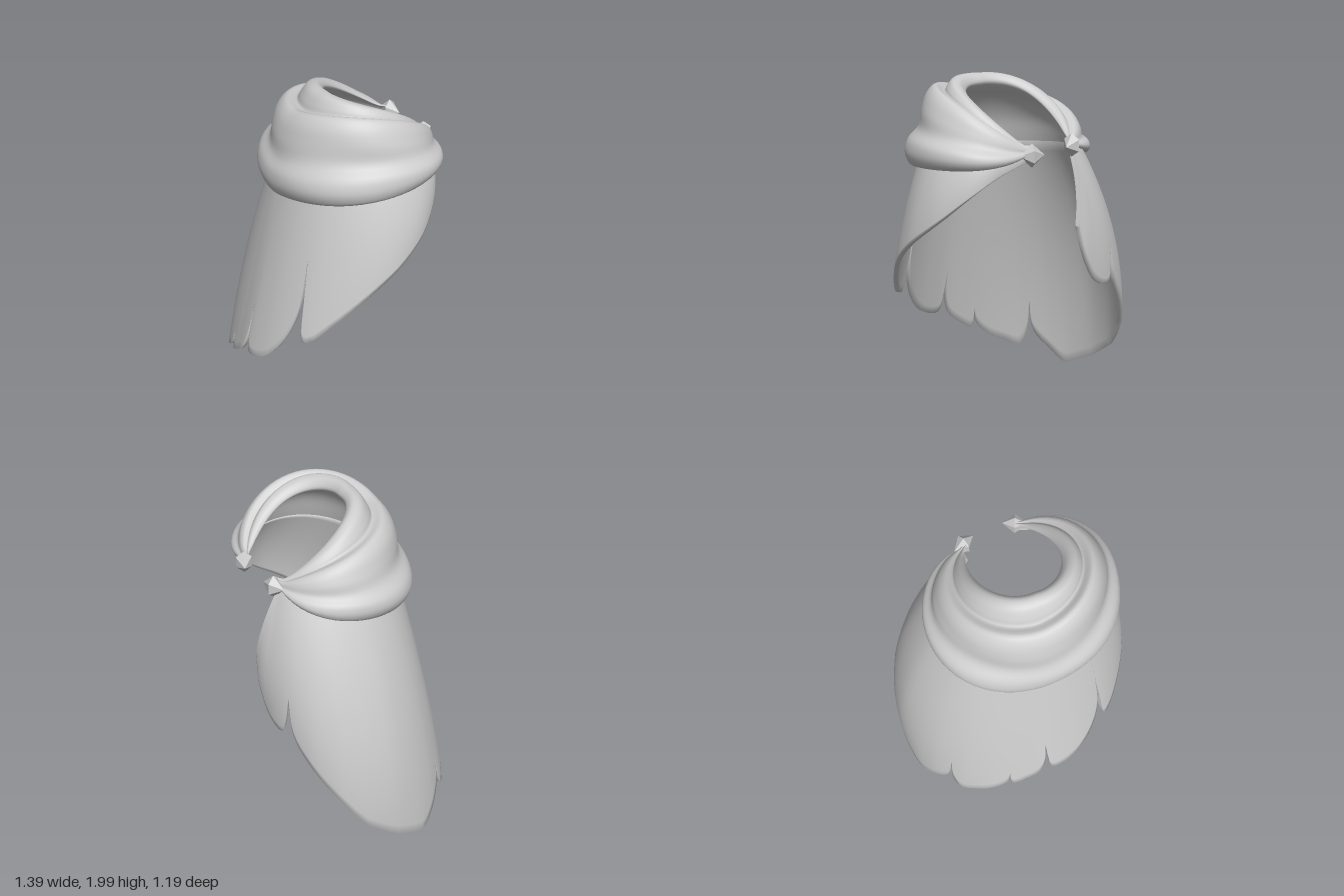
import * as THREE from 'three';

const CX = 0.12, CZ = -0.12;          // axis of the neck opening
const END = 2.72;                     // angle of each clasp, measured from the front
const { degToRad, radToDeg, clamp, lerp, smoothstep } = THREE.MathUtils;

// Place a profile point (radius, height) around the neck, gathered towards the clasps
function around(phi, r, y) {
  const a = Math.min(Math.abs(phi) / END, 1);
  const pr = Math.max(1 - a ** 4, 0.07), py = Math.max(1 - a ** 2.4, 0.1);
  const left = Math.max(0, Math.sin(phi)), outer = smoothstep(r, 0.18, 0.42);
  const widen = 0.04 * left * (1 - outer) + 0.025 * Math.sin(phi) ** 2 * smoothstep(r, 0.44, 0.53);
  const radius = 0.36 + (r - 0.36 + widen) * pr;
  const height = 1.655 + (y - 1.655) * py + 0.1 * Math.max(0, Math.sin(phi + 0.15)) * outer * py;
  return new THREE.Vector3(CX + Math.sin(phi) * radius, height, CZ + Math.cos(phi) * radius);
}

// Skin a list of equally long closed cross-sections
function loft(columns) {
  const n = columns[0].length, index = [];
  for (let i = 0; i < columns.length - 1; i++) {
    for (let j = 0; j < n; j++) {
      const k = (j + 1) % n;
      const a = i * n + j, b = a + n, c = i * n + k, d = c + n;
      index.push(a, b, c, b, d, c);
    }
  }
  const g = new THREE.BufferGeometry().setFromPoints(columns.flat());
  g.setIndex(index);
  g.computeVertexNormals();
  return g;
}

// Folded scarf round the neck, with a domed inner wall that runs on from the cape
function collarGeometry() {
  const profile = [
    [0.475, 1.46], [0.433, 1.57], [0.385, 1.71], [0.3, 1.84], [0.215, 1.91], [0.187, 1.95], [0.22, 1.992],
    [0.27, 1.98], [0.31, 1.925], [0.33, 1.888], [0.385, 1.9], [0.435, 1.85], [0.465, 1.76],
    [0.485, 1.655], [0.535, 1.58], [0.545, 1.5], [0.51, 1.43],
  ].map(([r, y]) => new THREE.Vector3(r, y, 0));
  const section = new THREE.CatmullRomCurve3(profile, true).getPoints(68).slice(0, -1);
  const columns = [];
  for (let i = 0; i <= 56; i++) {
    const phi = END - (2 * END * i) / 56;
    columns.push(section.map((p) => {
      const fold = smoothstep(p.x, 0.44, 0.5) * 0.007 * Math.sin(phi * 4 + p.y * 12);
      return around(phi, p.x + fold, p.y);
    }));
  }
  return loft(columns);
}

// Untorn lower outline of the cloth: angle in degrees, radius, height
const outline = [
  [156, 0.36, 1.62], [129, 0.426, 1.54], [111, 0.494, 1.43], [92, 0.555, 1.28], [74, 0.6, 1.14],
  [58, 0.627, 1.0], [41, 0.652, 0.82], [28, 0.68, 0.67], [18, 0.69, 0.59], [0, 0.715, 0.44],
  [-8, 0.722, 0.41], [-21, 0.733, 0.31], [-29, 0.75, 0.25], [-38, 0.776, 0.18], [-52, 0.81, 0.1],
  [-66, 0.83, 0.04], [-75, 0.833, 0.01], [-89, 0.815, 0.11], [-103, 0.79, 0.26], [-114, 0.757, 0.45],
  [-126, 0.69, 0.65], [-138, 0.612, 0.8], [-148, 0.56, 0.82], [-155, 0.525, 0.89], [-164, 0.49, 1.05],
  [-168, 0.465, 1.22],
];

function outlineAt(deg) {
  let i = 1;
  while (i < outline.length - 1 && outline[i][0] > deg) i++;
  const [d0, r0, y0] = outline[i - 1], [d1, r1, y1] = outline[i];
  const f = clamp((deg - d0) / (d1 - d0), 0, 1);
  return { r: lerp(r0, r1, f), y: lerp(y0, y1, f) };
}

// Torn edge of each panel as angle and height, ending at the slits between them
const panels = [
  [[155, 1.62], [129, 1.54], [111, 1.43], [92, 1.28], [74, 1.14], [58, 1.0], [41, 0.82], [30, 0.7],
    [26, 0.69], [25.2, 0.9], [24.8, 1.15]],
  [[24.8, 1.15], [23, 0.88], [18, 0.7], [9.5, 0.54], [1, 0.45], [-8, 0.43], [-9.8, 0.55], [-10.7, 0.7]],
  [[-10.7, 0.7], [-11.5, 0.52], [-14.5, 0.4], [-21, 0.32], [-28, 0.27], [-29, 0.37]],
  [[-29, 0.37], [-30.5, 0.29], [-38, 0.19], [-45, 0.145], [-52, 0.11], [-56, 0.22], [-57.5, 0.4]],
  [[-57.5, 0.4], [-59, 0.22], [-66, 0.1], [-75, 0.01], [-89, 0.11], [-103, 0.26], [-114, 0.46],
    [-126, 0.66], [-136, 0.85], [-139, 1.06]],
  [[-139, 1.06], [-140.5, 0.92], [-143, 0.84], [-155, 0.9], [-164, 1.06], [-168, 1.22]],
];

// Hanging cloth: one smooth thin shell, each column cut off at the torn edge
function capeGeometry() {
  const edge = [];
  panels.forEach((pts, k) => {
    // angles in radians keep both axes of the curve of similar size
    const curve = new THREE.CatmullRomCurve3(
      pts.map(([deg, y]) => new THREE.Vector3(degToRad(deg), y, 0)), false, 'centripetal');
    edge.push(...curve.getPoints((pts.length - 1) * 4).slice(k ? 1 : 0));
  });
  const rows = 24;
  const columns = edge.map(({ x: phi, y }) => {
    const out = new THREE.Vector3(Math.sin(phi), 0, Math.cos(phi));
    const full = outlineAt(radToDeg(phi));
    const top = around(clamp(phi, -END + 0.03, END - 0.03), 0.462, 1.54);
    const low = new THREE.Vector3(CX + out.x * full.r, full.y, CZ + out.z * full.r);
    const drop = Math.max(top.y - low.y, 0.01);
    const control = top.clone().lerp(low, 0.5)
      .addScaledVector(out, 0.13 * drop * Math.min(1, 1 - Math.cos(phi)));
    const curve = new THREE.QuadraticBezierCurve3(top, control, low);
    const cut = clamp((top.y - y) / drop, 0.02, 1);
    const outer = [], inner = [];
    for (let j = 0; j <= rows; j++) {
      const p = curve.getPoint((cut * j) / rows);
      outer.push(p);
      inner.unshift(p.clone().addScaledVector(out, -0.024));
    }
    return [...outer, ...inner];
  });
  return loft(columns);
}

export function createModel() {
  const model = new THREE.Group();
  model.name = 'tornCape';
  const cloth = new THREE.MeshStandardMaterial({ color: 0xcccccc, side: THREE.DoubleSide });
  cloth.name = 'light grey';

  const add = (name, geometry) => {
    const mesh = new THREE.Mesh(geometry, cloth);
    mesh.name = name;
    model.add(mesh);
    return mesh;
  };
  add('collar', collarGeometry());
  add('cape', capeGeometry());

  // Faceted clasps at the open ends
  const gem = new THREE.SphereGeometry(1, 6, 2).rotateZ(Math.PI / 2).toNonIndexed();
  gem.computeVertexNormals();
  for (const [name, x, y, z, turn] of [
    ['leftClasp', 0.28, 1.64, -0.46, -0.5],
    ['rightClasp', -0.025, 1.65, -0.47, 0.3],
  ]) {
    const clasp = add(name, gem);
    clasp.scale.set(0.07, 0.065, 0.05);
    clasp.position.set(x, y, z);
    clasp.rotation.y = turn;
  }
  return model;
}
